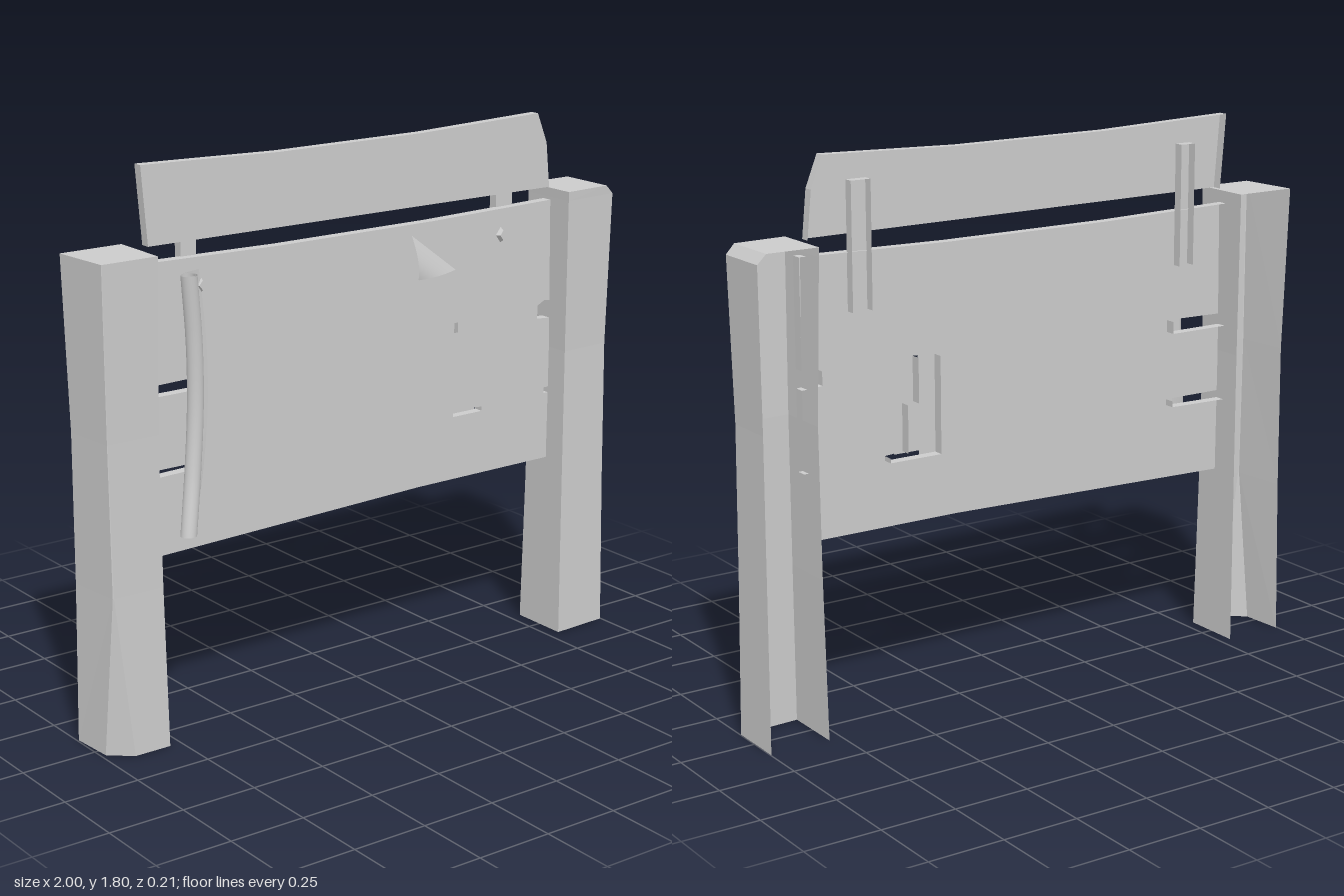
import * as THREE from 'three';
import { ParametricGeometry } from 'three/addons/geometries/ParametricGeometry.js';

const flat = new THREE.MeshStandardMaterial({ color: 0xcccccc, flatShading: true, side: THREE.DoubleSide });
const smooth = new THREE.MeshStandardMaterial({ color: 0xcccccc, side: THREE.DoubleSide });

function add(parent, name, geometry, material = flat) {
  const mesh = new THREE.Mesh(geometry, material);
  mesh.name = name;
  parent.add(mesh);
  return mesh;
}

function makeGeometry(positions) {
  const g = new THREE.BufferGeometry();
  g.setAttribute('position', new THREE.Float32BufferAttribute(positions, 3));
  g.computeVertexNormals();
  return g;
}

const quad = (out, a, b, c, d) => out.push(...a, ...b, ...c, ...a, ...c, ...d);

function sheet(outline, z, hole) {
  const toPoints = (list) => list.map(([x, y]) => new THREE.Vector2(x, y));
  const shape = new THREE.Shape(toPoints(outline));
  if (hole) shape.holes.push(new THREE.Path(toPoints(hole)));
  return new THREE.ShapeGeometry(shape).translate(0, 0, z);
}

// Front sheet with edges running backward; open at the back and underneath
function shell(parent, name, outline, front, back, hole) {
  const group = new THREE.Group();
  group.name = name;
  add(group, name + 'Face', sheet(outline, front, hole));
  const rim = [];
  for (const loop of hole ? [outline, [...hole].reverse()] : [outline]) {
    loop.forEach(([x0, y0], i) => {
      const [x1, y1] = loop[(i + 1) % loop.length];
      if ((x1 - x0) / Math.hypot(x1 - x0, y1 - y0) > 0.7) return;
      quad(rim, [x0, y0, front], [x0, y0, back], [x1, y1, back], [x1, y1, front]);
    });
  }
  add(group, name + 'Edges', makeGeometry(rim));
  parent.add(group);
}

// Post: walls lofted through levels of [y, [x, z]...] plus a top cap, open at the back
function post(parent, name, levels) {
  const out = [];
  const at = ([y, ...pts]) => pts.map(([x, z]) => [x, y, z]);
  for (let i = 0; i < levels.length - 1; i++) {
    const lo = at(levels[i]), hi = at(levels[i + 1]);
    for (let j = 0; j < lo.length - 1; j++) quad(out, lo[j], lo[j + 1], hi[j + 1], hi[j]);
  }
  const top = at(levels[levels.length - 1]);
  for (let j = 1; j < top.length - 1; j++) out.push(...top[0], ...top[j], ...top[j + 1]);
  add(parent, name, makeGeometry(out));
}

export function createModel() {
  const model = new THREE.Group();
  model.name = 'noticeBoard';

  // Posts, slightly waisted, the right one with a chipped lower corner
  post(model, 'rightPost', [
    [0, [-0.995, -0.105], [-0.985, 0.04], [-0.915, 0.1], [-0.79, 0.1], [-0.79, -0.105]],
    [0.52, [-0.99, -0.098], [-0.972, 0.088], [-0.969, 0.09], [-0.795, 0.09], [-0.795, -0.098]],
    [1.0, [-0.99, -0.095], [-0.974, 0.085], [-0.972, 0.086], [-0.797, 0.086], [-0.797, -0.095]],
    [1.545, [-1, -0.108], [-0.981, 0.094], [-0.979, 0.095], [-0.79, 0.095], [-0.79, -0.108]],
  ]);
  post(model, 'leftPost', [
    [0, [0.795, -0.105], [0.795, 0.1], [0.998, 0.09], [0.998, -0.105]],
    [0.52, [0.802, -0.098], [0.802, 0.09], [0.993, 0.082], [0.993, -0.098]],
    [1.0, [0.805, -0.095], [0.805, 0.086], [0.99, 0.078], [0.99, -0.095]],
    [1.515, [0.796, -0.107], [0.796, 0.097], [1, 0.085], [1, -0.107]],
    [1.545, [0.795, -0.108], [0.795, 0.098], [0.97, 0.088], [0.97, -0.108]],
  ]);

  // Main board with splits at both ends and a broken opening
  shell(model, 'board', [
    [-0.82, 0.583], [0.25, 0.61], [0.82, 0.61],
    [0.82, 0.84], [0.785, 0.84], [0.785, 0.86], [0.82, 0.86],
    [0.82, 1.1], [0.75, 1.105], [0.75, 1.15], [0.78, 1.165], [0.82, 1.16],
    [0.82, 1.505], [0.3, 1.495], [-0.3, 1.495], [-0.82, 1.505],
    [-0.82, 1.125], [-0.58, 1.13], [-0.58, 1.09], [-0.82, 1.09],
    [-0.82, 0.86], [-0.58, 0.86], [-0.58, 0.84], [-0.82, 0.835],
  ], 0.005, -0.03, [
    [0.33, 0.825], [0.515, 0.825], [0.515, 0.84], [0.45, 0.845],
    [0.45, 1.0], [0.41, 1.0], [0.41, 1.145], [0.33, 1.14],
  ]);
  add(model, 'patch', sheet([[0.22, 0.838], [0.48, 0.838], [0.48, 1.112], [0.22, 1.112]], 0.008));

  // Header board and its two brackets
  shell(model, 'header', [
    [-0.77, 1.555], [0.785, 1.55], [0.77, 1.7], [0.73, 1.8],
    [0.25, 1.785], [-0.3, 1.785], [-0.62, 1.795], [-0.79, 1.8],
  ], 0.01, -0.022);
  for (const [x0, x1, name] of [[-0.637, -0.582, 'rightBracket'], [0.585, 0.653, 'leftBracket']]) {
    shell(model, name, [[x0, 1.32], [x1, 1.32], [x1, 1.72], [x0, 1.72]], -0.023, -0.054);
  }

  // Torn notice sheet
  const paperZ = 0.013;
  add(model, 'paper', sheet([
    [-0.625, 0.667], [-0.04, 0.67], [0.01, 0.77], [0.03, 0.672], [0.385, 0.66],
    [0.388, 1.325], [0.21, 1.46], [-0.35, 1.45], [-0.61, 1.46], [-0.595, 1.1],
  ], paperZ));

  // Folded corner curling forward
  const foldA = new THREE.Vector3(0.21, 1.46, paperZ);
  const foldB = new THREE.Vector3(0.39, 1.325, paperZ);
  const tip = new THREE.Vector3(0.215, 1.32, paperZ);
  add(model, 'foldedCorner', new ParametricGeometry((u, v, p) => {
    p.copy(foldA).lerp(foldB, u).lerp(tip, v * 0.99);
    p.z += 0.033 * Math.sin(v * Math.PI * 0.65);
  }, 8, 8), smooth);

  // Rolled side edge: a spiral section swept along a bowed line
  const rollPath = new THREE.CatmullRomCurve3([
    [-0.695, 0.66, 0.078], [-0.662, 0.85, 0.056], [-0.643, 1.05, 0.048],
    [-0.645, 1.25, 0.052], [-0.666, 1.465, 0.063],
  ].map((p) => new THREE.Vector3(...p)));
  const centre = new THREE.Vector3();
  add(model, 'paperRoll', new ParametricGeometry((u, v, p) => {
    rollPath.getPoint(v, centre);
    const angle = u * Math.PI * 3.2;
    const r = 0.03 - 0.012 * u;
    p.set(centre.x + r * Math.sin(angle), centre.y, centre.z - r * Math.cos(angle));
  }, 36, 16), smooth);
  // Strip joining the roll to the sheet
  add(model, 'paperLift', new ParametricGeometry((u, v, p) => {
    rollPath.getPoint(v, centre);
    p.set(
      THREE.MathUtils.lerp(centre.x, centre.x + 0.07, u), centre.y,
      THREE.MathUtils.lerp(centre.z - 0.03, paperZ, u),
    );
  }, 4, 16), smooth);

  // Diamond-headed nails
  for (const [x, y] of [[-0.588, 1.415], [0.582, 1.415], [-0.625, 0.73]]) {
    const nail = add(model, 'nail', new THREE.CylinderGeometry(0.012, 0.02, 0.014, 4).rotateX(Math.PI / 2));
    nail.scale.y = 1.3;
    nail.position.set(x, y, x < -0.6 ? 0.025 : 0.014);
  }

  return model;
}
